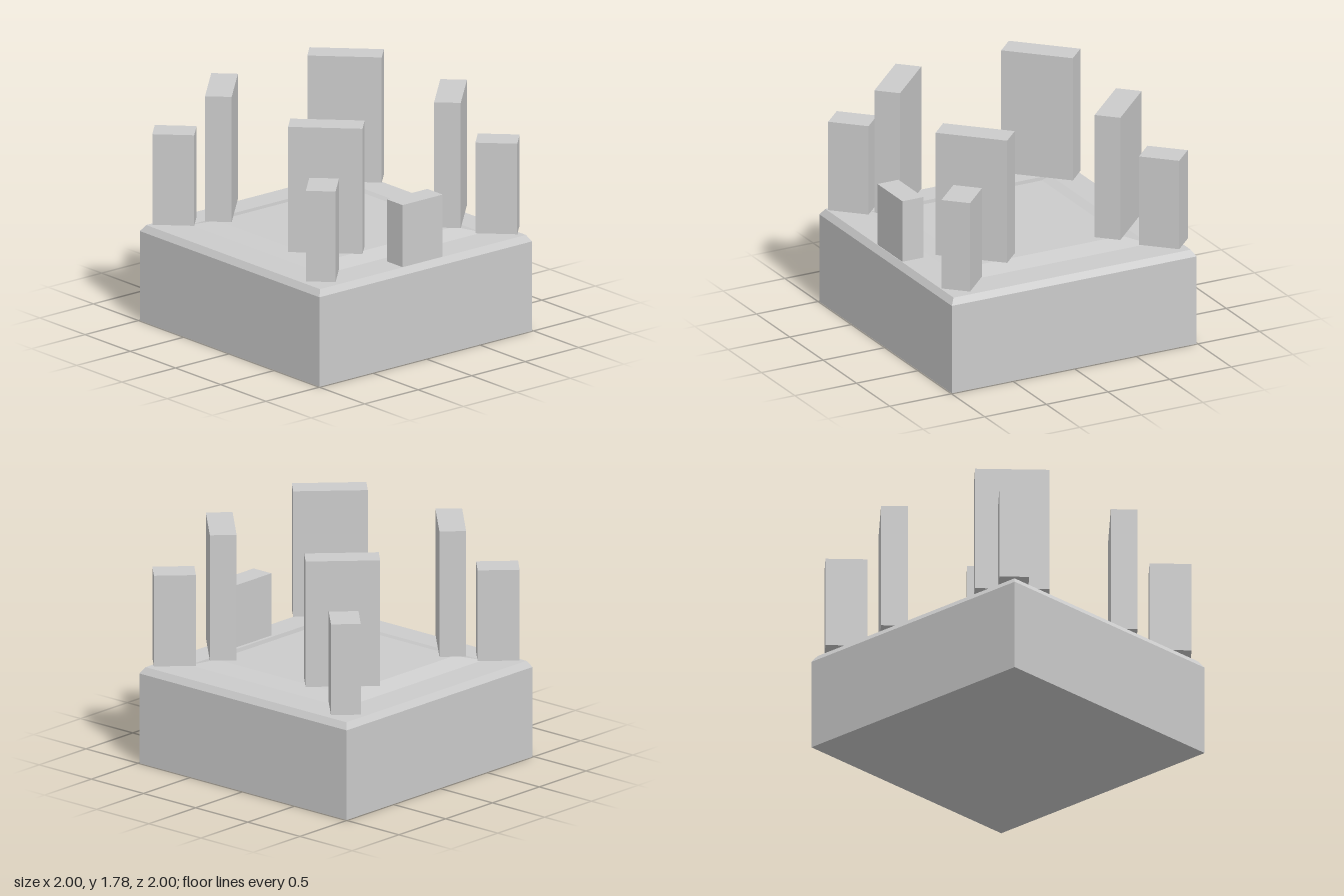
import * as THREE from 'three';

const material = new THREE.MeshStandardMaterial({ color: 0xcccccc, flatShading: true });

// Square block, tapering from one half-width to another between two heights
function taperedBlock(name, halfBottom, halfTop, y0, y1, openEnded = false) {
  const g = new THREE.CylinderGeometry(halfTop * Math.SQRT2, halfBottom * Math.SQRT2, y1 - y0, 4, 1, openEnded);
  g.rotateY(Math.PI / 4);
  g.translate(0, (y0 + y1) / 2, 0);
  const mesh = new THREE.Mesh(g, material);
  mesh.name = name;
  return mesh;
}

// Upright box between two heights, turned about y
function upright(name, width, depth, y0, y1, x, z, turn = 0) {
  const mesh = new THREE.Mesh(new THREE.BoxGeometry(width, y1 - y0, depth), material);
  mesh.name = name;
  mesh.position.set(x, (y0 + y1) / 2, z);
  mesh.rotation.y = turn;
  return mesh;
}

export function createModel() {
  const model = new THREE.Group();
  model.name = 'pedestal';

  // Base: plain block with a closed bevelled rim
  const base = new THREE.Group();
  base.name = 'base';
  base.add(taperedBlock('baseBlock', 0.993, 0.993, 0, 0.672));
  base.add(taperedBlock('baseBevel', 0.993, 0.962, 0.672, 0.719));
  model.add(base);

  // Shallow raised platform, just clear of the base
  model.add(taperedBlock('platform', 0.742, 0.6, 0.729, 0.767));

  // Tall slabs and shorter posts facing the middle at each corner
  for (const sx of [1, -1]) {
    for (const sz of [1, -1]) {
      const turn = sx * sz * Math.PI / 4;
      model.add(upright('tallSlab', 0.533, 0.191, 0.845, 1.785, sx * 0.58, sz * 0.58, turn));
      model.add(upright('cornerPost', 0.213, 0.3, 0.757, 1.437, sx * 0.818, sz * 0.818, turn));
    }
  }

  // Single block standing on the rim at the +x side
  model.add(upright('sideBlock', 0.17, 0.375, 0.719, 1.185, 0.873, 0));

  return model;
}
